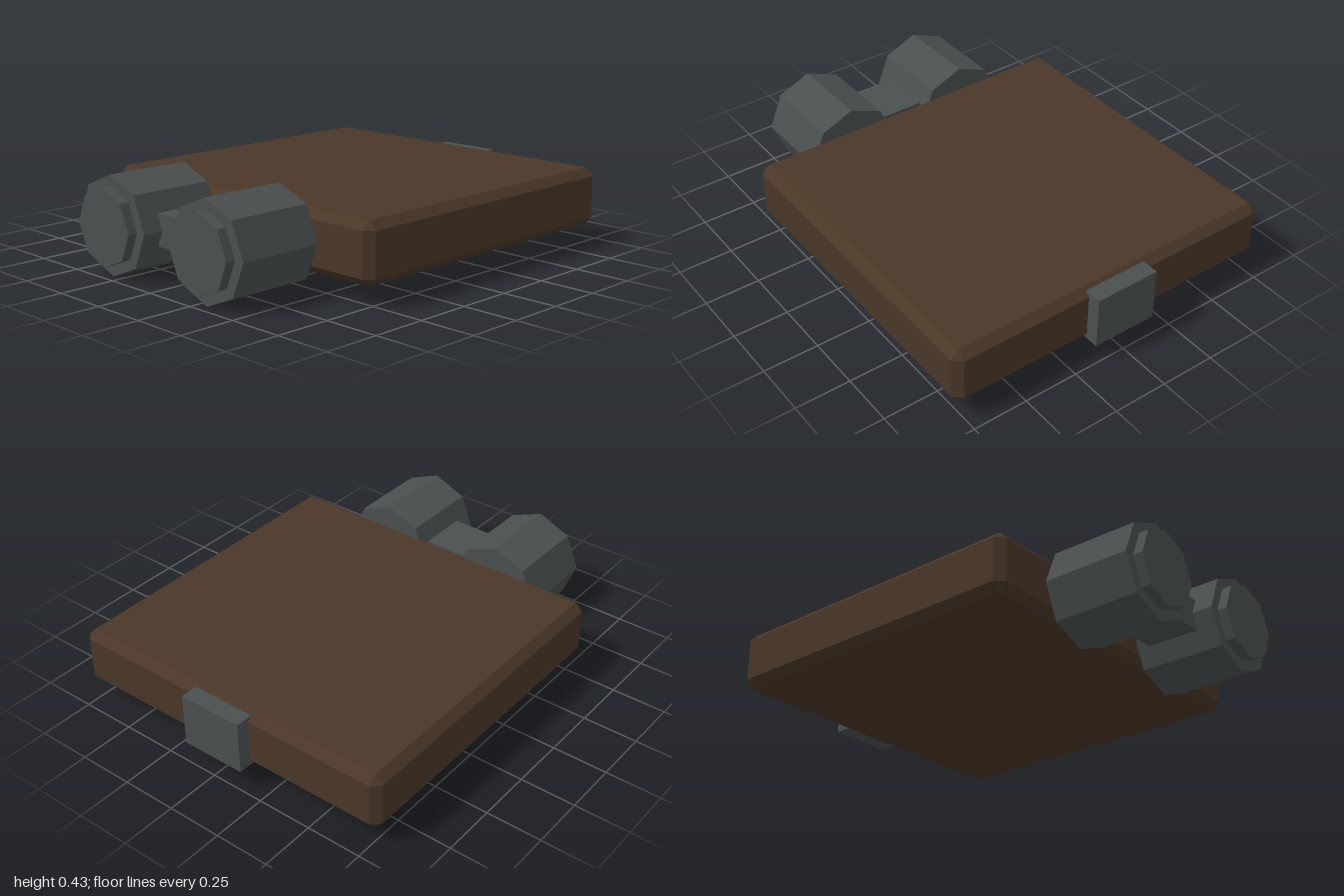
import * as THREE from 'three';
import { ConvexGeometry } from 'three/addons/geometries/ConvexGeometry.js';

const CY = 0.218; // height of the common centre line

// Box with every edge chamfered: three corner points per octant
function chamferBox(w, h, d, c) {
  const pts = [];
  for (const sx of [-1, 1]) for (const sy of [-1, 1]) for (const sz of [-1, 1]) {
    const x = w / 2, y = h / 2, z = d / 2;
    pts.push(
      new THREE.Vector3(sx * x, sy * (y - c), sz * (z - c)),
      new THREE.Vector3(sx * (x - c), sy * y, sz * (z - c)),
      new THREE.Vector3(sx * (x - c), sy * (y - c), sz * z)
    );
  }
  return new ConvexGeometry(pts);
}

export function createModel() {
  const group = new THREE.Group();
  const brown = new THREE.MeshStandardMaterial({ color: 0x4a3728, flatShading: true });
  brown.name = 'dark brown';
  const grey = new THREE.MeshStandardMaterial({ color: 0x4a4f50, flatShading: true });
  grey.name = 'dark grey';

  const add = (name, geometry, material, x, z) => {
    const mesh = new THREE.Mesh(geometry, material);
    mesh.name = name;
    mesh.position.set(x, CY, z);
    group.add(mesh);
  };

  // Octagonal drum lying along z, between z0 and z1
  const drum = (name, r, x, z0, z1) =>
    add(name, new THREE.CylinderGeometry(r, r, z1 - z0, 8).rotateX(Math.PI / 2), grey, x, (z0 + z1) / 2);

  // Flat chamfered slab
  add('body', chamferBox(1.58, 0.264, 1.505, 0.036), brown, 0, -0.1875);

  // Pair of barrels with stepped front caps
  for (const [side, s] of [['left', 1], ['right', -1]]) {
    drum(side + 'Barrel', 0.217, s * 0.3, 0.568, 0.957);
    drum(side + 'BarrelCap', 0.17, s * 0.3, 0.94, 1);
  }

  // Bridge between the barrels and tab on the back edge
  add('bridge', new THREE.BoxGeometry(0.23, 0.14, 0.24), grey, 0, 0.745);
  add('backTab', new THREE.BoxGeometry(0.3, 0.24, 0.08), grey, 0, -0.96);

  return group;
}
